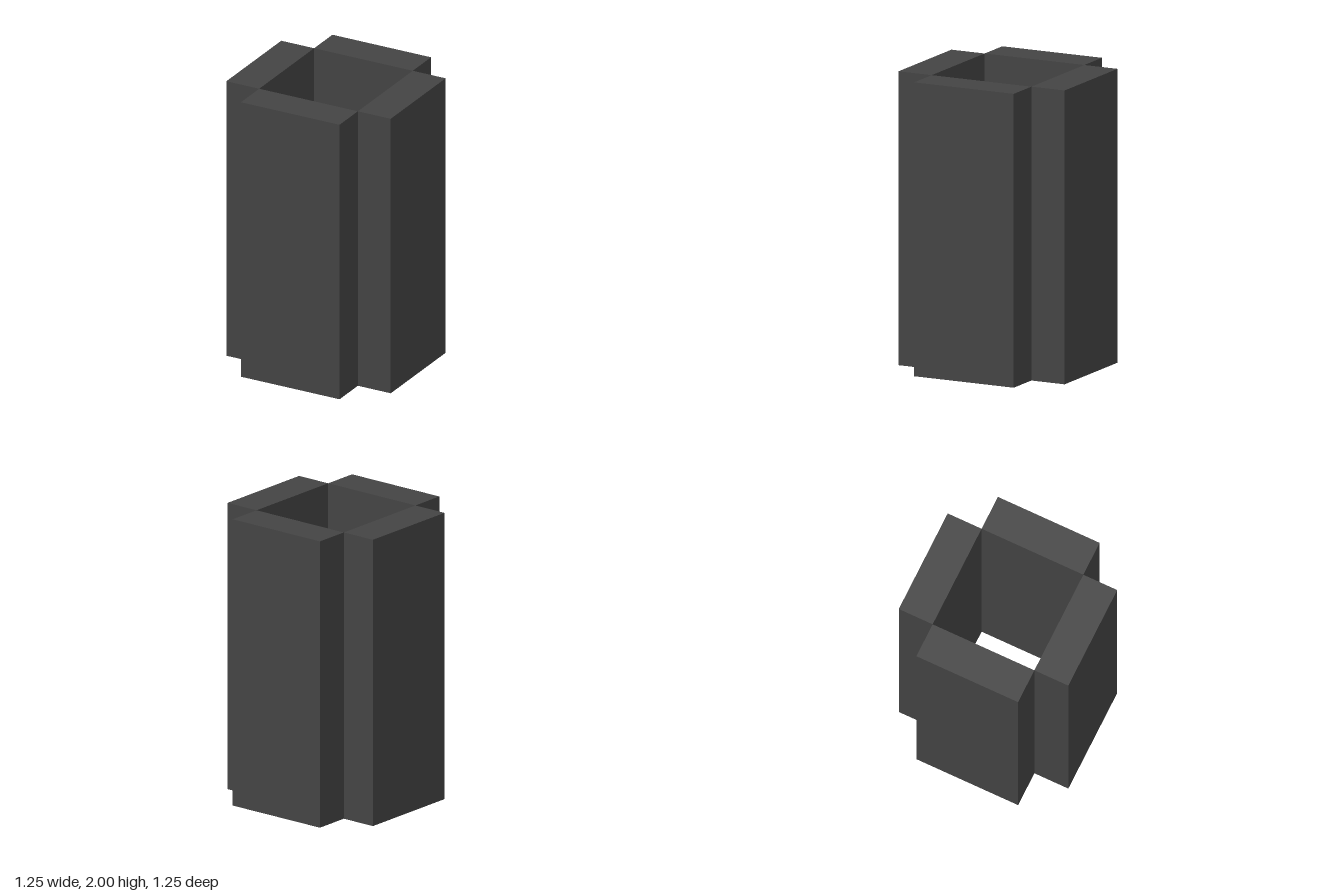
import * as THREE from 'three';

export function createModel() {
  const model = new THREE.Group();
  model.name = 'openSquareTube';

  const darkGrey = new THREE.MeshStandardMaterial({ color: 0x444444 });
  darkGrey.name = 'darkGrey';

  const height = 2, width = 0.75, thickness = 0.25;
  const offset = (width + thickness) / 2;
  const wall = new THREE.BoxGeometry(width, height, thickness);

  // Four thick walls meeting edge to edge around an open square shaft
  ['frontWall', 'leftWall', 'backWall', 'rightWall'].forEach((name, i) => {
    const angle = (i * Math.PI) / 2;
    const mesh = new THREE.Mesh(wall, darkGrey);
    mesh.name = name;
    mesh.rotation.y = angle;
    mesh.position.set(Math.sin(angle) * offset, height / 2, Math.cos(angle) * offset);
    model.add(mesh);
  });

  return model;
}
